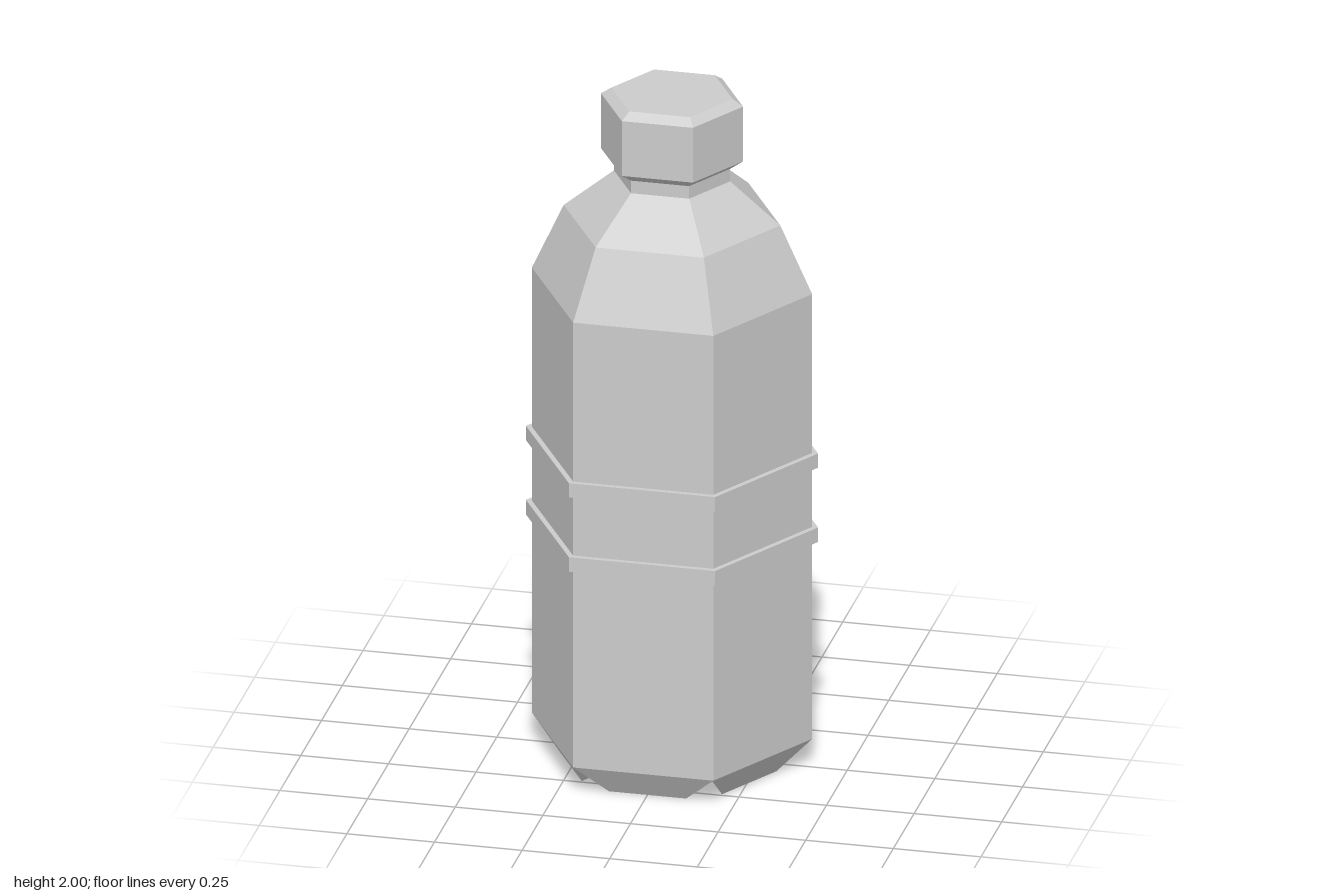
import * as THREE from 'three';

const SIDES = 6;
const material = new THREE.MeshStandardMaterial({ color: 0xcccccc, flatShading: true });

// Six-sided turned part with corners on the x axis; profile is [radius, y], bottom to top
function hexLathe(name, profile) {
  const points = profile.map(([r, y]) => new THREE.Vector2(r, y));
  const mesh = new THREE.Mesh(new THREE.LatheGeometry(points, SIDES, Math.PI / 2), material);
  mesh.name = name;
  return mesh;
}

export function createModel() {
  const bottle = new THREE.Group();
  bottle.name = 'bottle';

  // Straight walls, two-step shoulder and short neck
  bottle.add(hexLathe('body', [
    [0.4, 0.085], [0.4, 1.432], [0.309, 1.631], [0.166, 1.75], [0.166, 1.788],
  ]));

  // Screw cap with bevelled rims
  bottle.add(hexLathe('cap', [
    [0.166, 1.788], [0.203, 1.814], [0.203, 1.98], [0.173, 2], [0, 2],
  ]));

  // Two raised bands round the waist
  for (const [name, y0, y1] of [['lowerBand', 0.683, 0.727], ['upperBand', 0.908, 0.951]]) {
    bottle.add(hexLathe(name, [[0.39, y0], [0.417, y0], [0.417, y1], [0.39, y1]]));
  }

  // Six tapered triangular feet, leaving V grooves from the centre to each corner
  const feet = new THREE.Group();
  feet.name = 'feet';
  const height = 0.085;
  const side = 0.4;
  const footGeometry = new THREE.CylinderGeometry(side / Math.sqrt(3), 0.127, height, 3, 1, false, Math.PI);
  footGeometry.translate(0, height / 2, side / Math.sqrt(3));
  for (let i = 0; i < SIDES; i++) {
    const foot = new THREE.Mesh(footGeometry, material);
    foot.name = 'foot';
    foot.rotation.y = (i * Math.PI * 2) / SIDES;
    feet.add(foot);
  }
  bottle.add(feet);

  return bottle;
}
